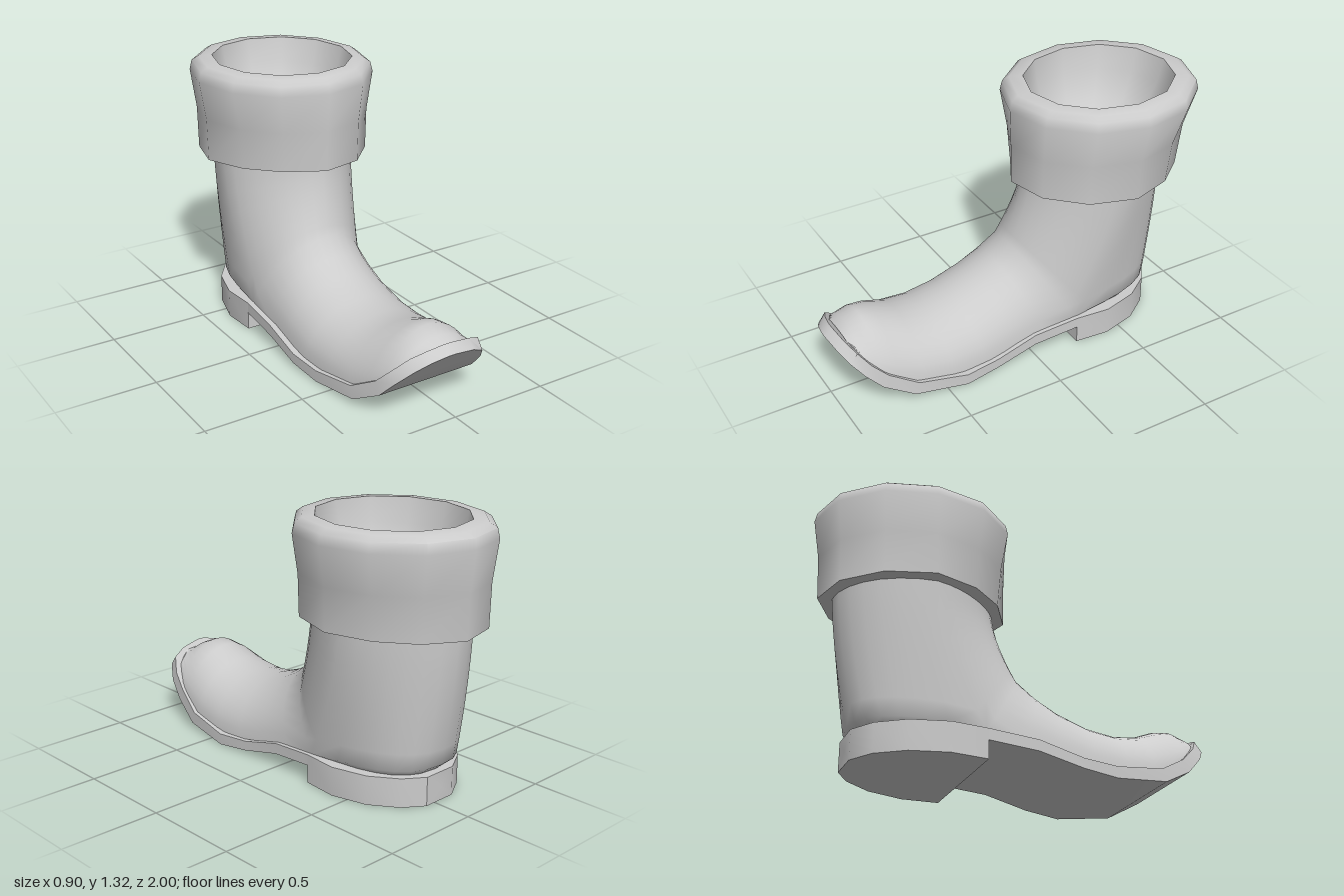
import * as THREE from 'three';
import { toCreasedNormals } from 'three/addons/utils/BufferGeometryUtils.js';

// Skins a list of equal-length rings of [x, y, z] points.
function loft(rings, crease) {
  const n = rings[0].length;
  const index = [];
  for (let i = 0; i < rings.length - 1; i++) {
    for (let j = 0; j < n - 1; j++) {
      const a = i * n + j, b = a + 1, c = a + n, d = c + 1;
      index.push(a, b, d, a, d, c);
    }
  }
  const g = new THREE.BufferGeometry();
  g.setAttribute('position', new THREE.Float32BufferAttribute(rings.flat(2), 3));
  g.setIndex(index);
  return toCreasedNormals(g, crease);
}

// Oval point at angle a from the front; squeeze flattens one diagonal.
function oval(rx, rz, a, squeeze) {
  const k = 1 - squeeze * Math.max(0, -Math.sin(2 * a));
  return [rx * k * Math.sin(a), rz * k * Math.cos(a)];
}

export function createModel() {
  const group = new THREE.Group();
  const grey = new THREE.MeshStandardMaterial({ color: 0xcccccc, side: THREE.DoubleSide });
  grey.name = 'grey';
  const add = (name, geometry) => {
    const mesh = new THREE.Mesh(geometry, grey);
    mesh.name = name;
    group.add(mesh);
  };

  // Upper, foot part: arches from toe to instep.
  // [top z, top y, base z, base y, half width, centre x, peak sharpness]
  const arches = [
    [0.93, 0.34, 0.93, 0.33, 0.11, -0.01, 1.4],
    [0.89, 0.37, 0.89, 0.275, 0.19, -0.025, 1.6],
    [0.82, 0.4, 0.82, 0.2, 0.235, -0.03, 1.5],
    [0.74, 0.385, 0.74, 0.14, 0.26, -0.033, 1.25],
    [0.62, 0.335, 0.62, 0.08, 0.285, -0.035, 1.05],
    [0.48, 0.315, 0.46, 0.06, 0.3, -0.035, 1],
    [0.33, 0.33, 0.28, 0.063, 0.305, -0.045, 1],
    [0.18, 0.385, 0.1, 0.095, 0.3, -0.05, 1],
    [0.08, 0.445, -0.06, 0.128, 0.3, -0.05, 1],
    [0, 0.525, -0.24, 0.143, 0.3, -0.042, 1],
  ];
  const front = 18, back = 14;
  // Each ring is an arch closed by a squarish rear half-loop of the given depth and lift.
  const archRing = ([zt, yt, zb, yb, w, x, sharp], depth = 0, lift = 0, inset = 1) => {
    const ring = [];
    for (let j = 0; j <= front; j++) {
      const a = Math.PI * j / front, t = Math.sin(a) ** sharp;
      ring.push([x - w * Math.cos(a), yb + (yt - yb) * t, zb + (zt - zb) * t]);
    }
    for (let j = 1; j < back; j++) {
      const a = Math.PI * j / back, c = Math.cos(a), s = Math.sin(a) ** 0.78;
      const cx = Math.sign(c) * Math.abs(c) ** 0.78;
      ring.push([x + w * inset * cx, yb + lift * Math.sqrt(s), zb - depth * s]);
    }
    return [...ring, ring[0]];
  };
  const instep = arches[arches.length - 1];
  const ankle = archRing(instep, 0.56, 0.035);

  // Upper, leg part: the ankle loop blends into an oval under the cuff.
  const collar = ankle.map((_, j) => {
    const a = (j <= front ? j / front : 1 + (j - front) / back) * Math.PI - Math.PI / 2;
    const [x, z] = oval(0.335, 0.405, a, 0.14);
    return [x - 0.015, 0.9, z - 0.495];
  });
  const leg = [0.12, 0.25, 0.4, 0.55, 0.7, 0.85, 1].map((t) => {
    const ease = 1 - (1 - t) ** 1.6;
    return ankle.map((p, j) => p.map((v, k) => v + (collar[j][k] - v) * (k === 1 ? t : ease)));
  });
  add('upper', loft([
    ...arches.slice(0, -1).map((row) => archRing(row)),
    archRing(instep, 0.52, 0, 0.94),
    ankle,
    ...leg,
  ], 0.95));

  // Sole and heel: box sections from toe to back, closed at both ends.
  // [bottom z, bottom y, top z, top y, right x, left x]
  const slab = (rows) => {
    const rings = rows.map(([zb, yb, zt, yt, r, l]) =>
      [[r, yt, zt], [l, yt, zt], [l, yb, zb], [r, yb, zb], [r, yt, zt]]);
    const cap = ([zb, yb, zt, yt, r, l]) =>
      Array.from({ length: 5 }, () => [(r + l) / 2, (yb + yt) / 2, (zb + zt) / 2]);
    return loft([cap(rows[0]), ...rings, cap(rows[rows.length - 1])], 0.6);
  };
  add('sole', slab([
    [1, 0.325, 0.96, 0.365, -0.05, -0.01],
    [0.985, 0.306, 0.945, 0.347, -0.13, 0.1],
    [0.955, 0.268, 0.918, 0.318, -0.2, 0.175],
    [0.9, 0.2, 0.865, 0.25, -0.268, 0.212],
    [0.82, 0.115, 0.79, 0.175, -0.295, 0.23],
    [0.67, 0.033, 0.65, 0.095, -0.335, 0.265],
    [0.4, 0.003, 0.4, 0.06, -0.365, 0.295],
    [0.22, 0.02, 0.22, 0.07, -0.38, 0.278],
    [0, 0.07, 0, 0.125, -0.38, 0.27],
    [-0.24, 0.09, -0.24, 0.145, -0.372, 0.28],
  ]));
  add('heel', slab([
    [-0.24, -0.372, 0.28],
    [-0.42, -0.385, 0.295],
    [-0.6, -0.335, 0.247],
    [-0.73, -0.24, 0.155],
    [-0.8, -0.12, 0.055],
  ].map(([z, r, l]) => [z, 0, z, 0.145, r, l])));

  // Twelve-sided ring, turned slightly; tilt raises its front and lowers its back.
  const ring = (rx, rz, y, cx, cz, tilt = 0, squeeze = 0) => Array.from({ length: 13 }, (_, j) => {
    const a = j / 12 * Math.PI * 2 - 0.04;
    const [x, z] = oval(rx, rz, a, squeeze);
    return [cx + x, y + tilt * Math.cos(a), cz + z];
  });

  // Cuff: underside, flared wall and rounded rim.
  add('cuff', loft([
    ring(0.325, 0.39, 0.842, -0.015, -0.495, 0.014, 0.14),
    ring(0.412, 0.47, 0.842, -0.01, -0.497, 0.014, 0.1),
    ring(0.417, 0.474, 1.05, -0.007, -0.5, 0.005, 0.06),
    ring(0.451, 0.491, 1.245, 0, -0.51),
    ring(0.439, 0.48, 1.293, 0, -0.51),
    ring(0.405, 0.445, 1.316, 0, -0.507),
    ring(0.345, 0.375, 1.322, 0.004, -0.505),
  ], 0.85));

  // Lining: rounded bowl inside the leg.
  add('lining', loft([
    ring(0.345, 0.375, 1.322, 0.004, -0.505),
    ring(0.32, 0.35, 1.2, 0, -0.5),
    ring(0.265, 0.295, 1.07, -0.005, -0.49),
    ring(0.19, 0.21, 0.98, -0.01, -0.48),
    ring(0.1, 0.11, 0.93, -0.015, -0.47),
    ring(0, 0, 0.915, -0.015, -0.465),
  ], 1.2));

  return group;
}
